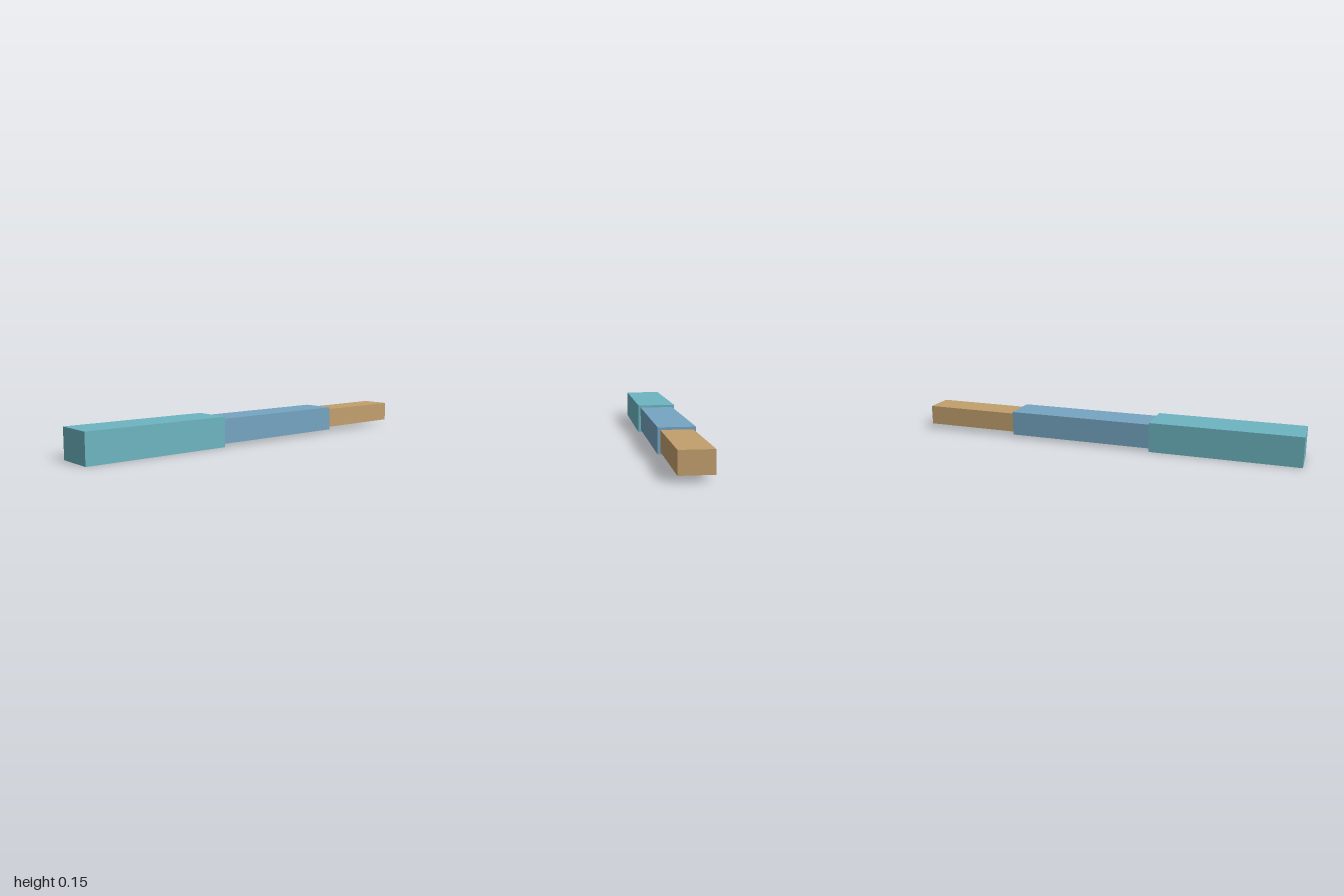
import * as THREE from 'three';

export function createModel() {
  const model = new THREE.Group();
  model.name = 'telescopicArm';

  const paint = (name, color) => {
    const material = new THREE.MeshStandardMaterial({ color });
    material.name = name;
    return material;
  };

  // Nested square-edged sections, each sliding a little way into the larger one
  const sections = [
    { name: 'outerSection', from: -1, to: -0.254, height: 0.15, depth: 0.2, material: paint('teal', 0x6db5c1) },
    { name: 'middleSection', from: -0.3, to: 0.498, height: 0.124, depth: 0.175, material: paint('blue', 0x76a5c2) },
    { name: 'innerSection', from: 0.45, to: 1, height: 0.1, depth: 0.15, material: paint('tan', 0xc2a06d) },
  ];

  for (const { name, from, to, height, depth, material } of sections) {
    const mesh = new THREE.Mesh(new THREE.BoxGeometry(to - from, height, depth), material);
    mesh.name = name;
    mesh.position.set((from + to) / 2, name === 'outerSection' ? 0.075 : 0.076, 0);
    model.add(mesh);
  }

  return model;
}
